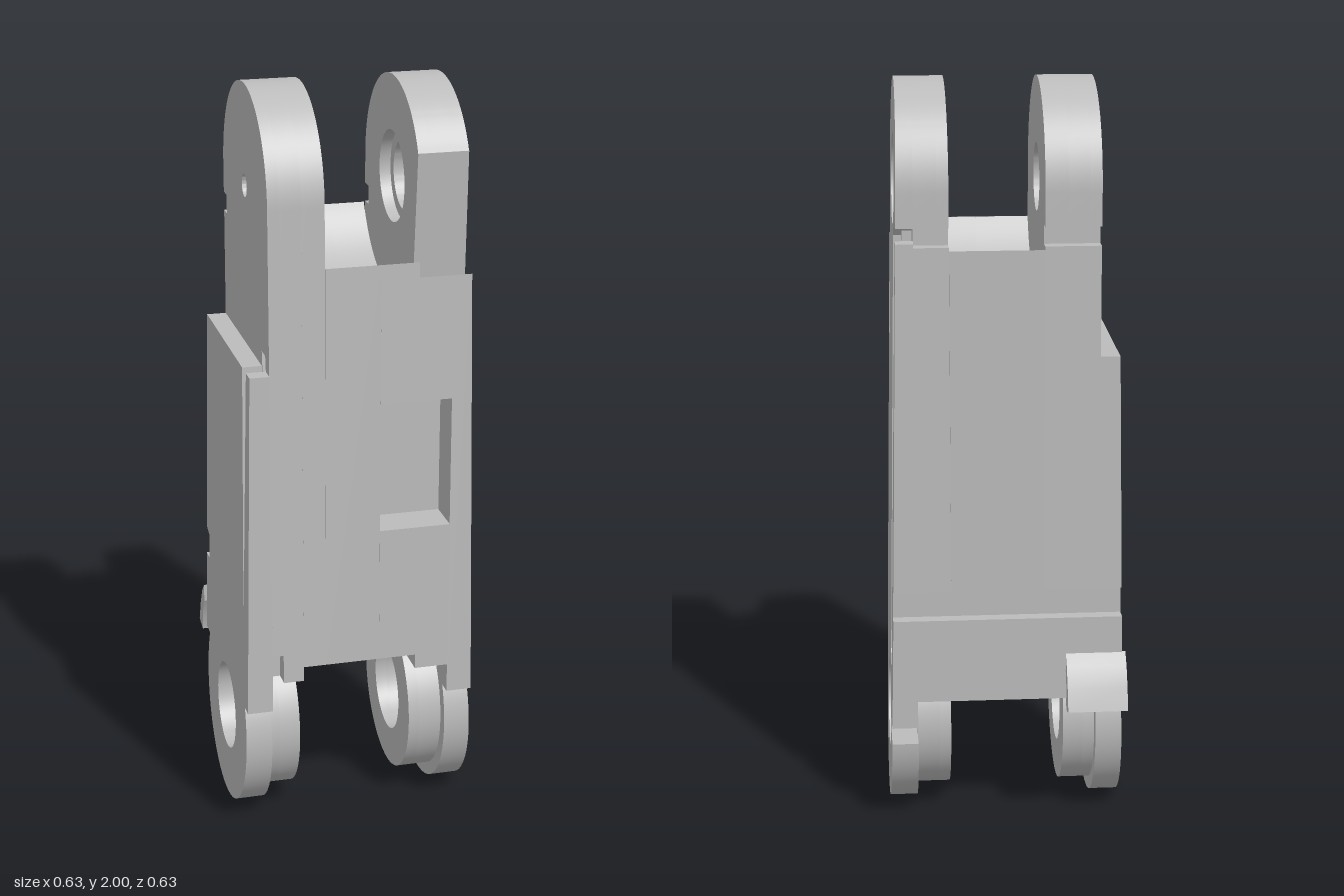
import * as THREE from 'three';
import { toCreasedNormals } from 'three/addons/utils/BufferGeometryUtils.js';

// Side profiles are drawn with u = -z across and y up, then extruded along x.
const U = -0.04, TOP = 1.735, LOW = 0.26;

const line = (s, pts) => pts.forEach(([u, y]) => s.lineTo(u, y));
const poly = (pts) => new THREE.Shape(pts.map(([u, y]) => new THREE.Vector2(u, y)));

function bore(s, y, r) {
  const h = new THREE.Path();
  h.absarc(U, y, r, 0, Math.PI * 2, false);
  s.holes.push(h);
}

// slit behind the front panel, open at the top
const SLIT = [[-0.31, 1.54], [-0.275, 1.28], [-0.225, 1.27], [-0.28, 1.85]];
const SLIT_END = Math.PI - Math.asin(0.115 / 0.265);
// stepped back face with the cross groove
const BACK = [[0.236, 0.68], [0.205, 0.67], [0.205, 0.6], [0.24, 0.6], [0.24, 0.37]];

// One slice of the body: with or without top ear, bottom lug, pocket and slit
function bodyProfile({ ear = 0, lug = false, pocket = false, slit = false, cut = 0 }) {
  const s = new THREE.Shape();
  const base = lug ? 0.45 : 0.49;
  s.moveTo(-0.315, cut || base);
  if (pocket) line(s, [[-0.315, 0.86], [-0.21, 0.86], [-0.21, 1.21], [-0.312, 1.21]]);
  if (ear) {
    if (slit) line(s, SLIT);
    else s.lineTo(-0.305, TOP);
    s.absarc(U, TOP, 0.265, slit ? SLIT_END : Math.PI, 0, true);
    line(s, [[0.225, 1.65], [0.19, 1.65], [0.19, 1.6], [0.225, 1.6]]);
    bore(s, TOP, ear);
  } else {
    s.lineTo(-0.31, 1.58);
    s.absarc(U, TOP, 0.312, Math.atan2(-0.155, -0.27), Math.atan2(-0.135, 0.265), false);
  }
  line(s, BACK);
  if (lug) {
    s.absarc(U, LOW, 0.225, Math.asin(0.11 / 0.225), Math.PI - Math.asin(0.19 / 0.225), true);
    bore(s, LOW, 0.12);
  } else {
    s.absarc(U, LOW, 0.27, Math.asin(0.11 / 0.27), Math.PI - Math.asin(0.23 / 0.27), false);
  }
  if (cut) line(s, [[-0.27, base], [-0.27, cut]]);
  else s.lineTo(-0.315, base);
  if (!slit) {
    s.holes.push(new THREE.Path([[-0.275, 1.28], [-0.235, 1.27], [-0.225, 1.35], [-0.265, 1.35]]
      .map(([u, y]) => new THREE.Vector2(u, y))));
  }
  return s;
}

// Left cheek: ear, slit front edge, channel at the rear and slotted lug
function leftCheek() {
  const s = new THREE.Shape();
  s.moveTo(-0.315, 0.37);
  line(s, SLIT);
  s.absarc(U, TOP, 0.265, SLIT_END, 0, true);
  line(s, [[0.225, 1.65], [0.19, 1.65], [0.085, 1.65], [0.045, 1.6], [0.045, 0.45],
    [0.1, 0.4], [0.1, 0.24], [0.219, 0.24]]);
  s.absarc(U, LOW, 0.26, Math.asin(-0.02 / 0.26), -Math.PI - Math.asin(0.11 / 0.26), true);
  bore(s, TOP, 0.12);
  bore(s, LOW, 0.12);
  return s;
}

// Right cheek: lower plate with a tapered groove and round lug
function rightCheek() {
  const s = new THREE.Shape();
  s.moveTo(-0.315, 0.37);
  line(s, [[-0.312, 1.31], [-0.27, 1.31], [-0.255, 0.6], [-0.225, 1.31], [0.228, 1.31], ...BACK]);
  s.absarc(U, LOW, 0.26, Math.asin(0.11 / 0.26), -Math.PI - Math.asin(0.11 / 0.26), true);
  bore(s, LOW, 0.12);
  return s;
}

export function createModel() {
  const group = new THREE.Group();
  const grey = new THREE.MeshStandardMaterial({ color: 0xbcbcbc });
  grey.name = 'light grey';

  // taper: +1 or -1 slopes the outer face of that side inward with height
  function slab(name, shape, x0, x1, taper = 0) {
    let g = new THREE.ExtrudeGeometry(shape, { depth: x1 - x0, bevelEnabled: false, curveSegments: 32 });
    g.rotateY(Math.PI / 2);
    g.translate(x0, 0, 0);
    if (taper) {
      const p = g.attributes.position;
      const mid = (x0 + x1) / 2;
      for (let i = 0; i < p.count; i++) {
        if ((p.getX(i) - mid) * taper > 0) p.setX(i, taper * (0.315 - 0.018 * p.getY(i)));
      }
    }
    g = toCreasedNormals(g, 0.5);
    const m = new THREE.Mesh(g, grey);
    m.name = name;
    group.add(m);
  }

  // body slices from right to left
  const slices = [
    ['rightEarOuter', -0.24, -0.21, { ear: 0.03, lug: true, cut: 0.53 }],
    ['rightEarMiddle', -0.21, -0.155, { ear: 0.09, lug: true }],
    ['rightEarInner', -0.155, -0.095, { ear: 0.09 }],
    ['bodyCore', -0.095, 0.05, {}],
    ['bodyPocketSide', 0.05, 0.15, { pocket: true }],
    ['leftEarInner', 0.15, 0.18, { ear: 0.12, lug: true, pocket: true, slit: true }],
    ['leftEarMiddle', 0.18, 0.24, { ear: 0.09, lug: true, pocket: true, slit: true }],
  ];
  for (const [name, x0, x1, opts] of slices) slab(name, bodyProfile(opts), x0, x1);

  // outer cheeks
  slab('leftCheek', leftCheek(), 0.24, 0.3, 1);
  slab('rightCheek', rightCheek(), -0.3, -0.24, -1);

  // left channel step and rear wedge
  slab('channelStep', poly([[0.045, 1.6], [0.045, 0.45], [0.09, 0.41], [0.09, 1.62]]), 0.24, 0.265);
  slab('rearWedge', poly([[0.18, 1.61], [0.225, 1.61], ...BACK, [0.205, 0.37], [0.205, 0.28],
    [0.1, 0.28]]), 0.24, 0.3, 1);

  // rear hook
  slab('hookWeb', poly([[0.2, 0.5], [0.24, 0.49], [0.265, 0.45], [0.28, 0.35], [0.21, 0.335]]), -0.28, -0.16);
  slab('hookBlade', poly([[0.238, 0.5], [0.268, 0.47], [0.295, 0.42], [0.317, 0.36],
    [0.272, 0.347], [0.26, 0.41], [0.238, 0.45]]), -0.315, -0.155);

  return group;
}
